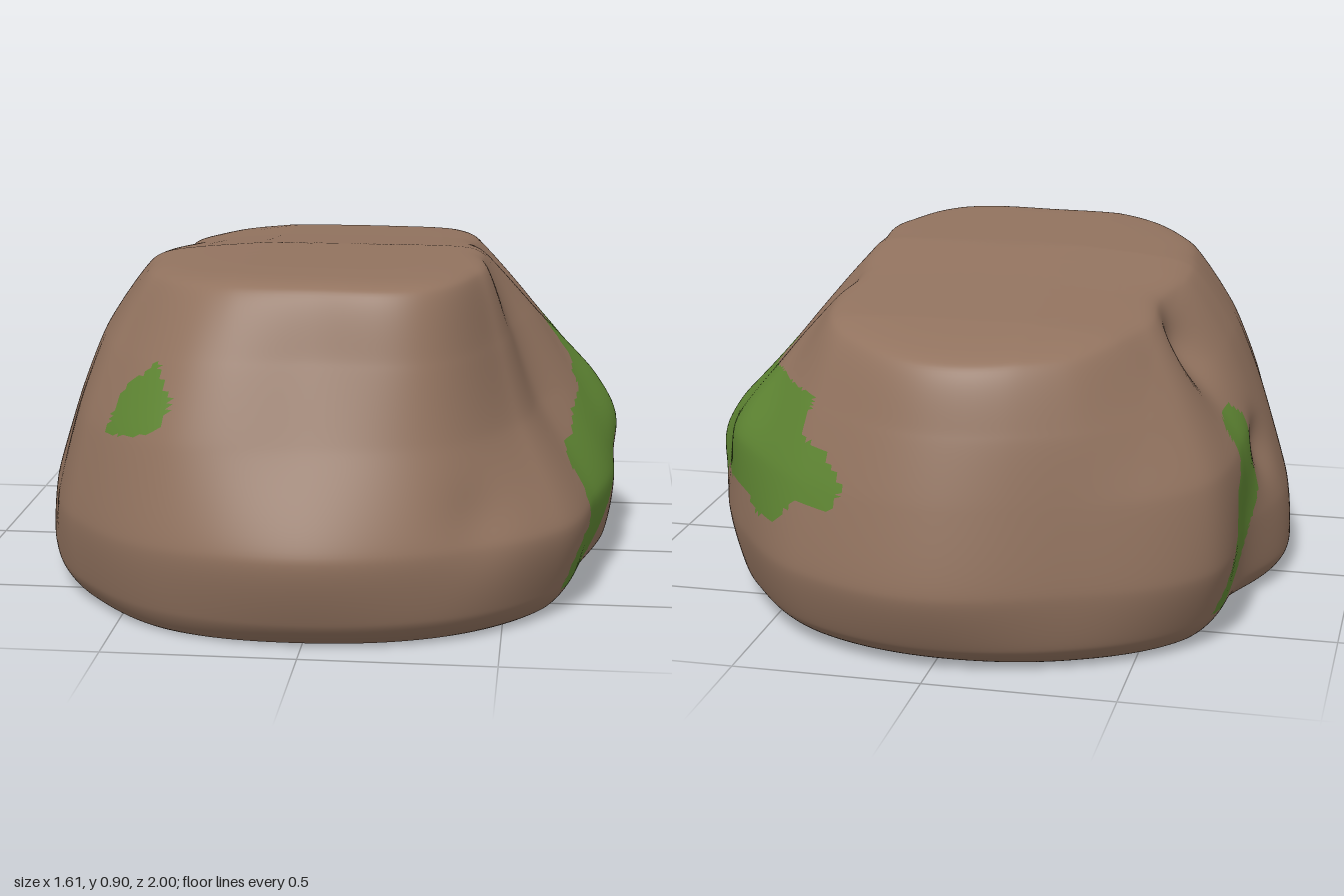
import * as THREE from 'three';

// Radii every 22.5 degrees, from +x towards +z
const BASE = [0.7, 0.71, 0.83, 0.88, 0.89, 0.9, 0.84, 0.78, 0.76, 0.72, 0.84, 0.85, 0.84, 0.82, 0.75, 0.72];
const LOW = [0.77, 0.77, 0.88, 0.94, 0.955, 0.95, 0.89, 0.83, 0.81, 0.77, 0.9, 0.92, 0.93, 0.9, 0.82, 0.77];
const WIDE = [0.79, 0.8, 0.915, 0.965, 1.0, 0.985, 0.91, 0.82, 0.8, 0.785, 0.955, 0.955, 0.995, 0.95, 0.86, 0.81];
const MID = [0.68, 0.63, 0.75, 0.87, 0.87, 0.92, 0.85, 0.75, 0.72, 0.76, 0.925, 0.93, 0.96, 0.91, 0.83, 0.76];
const UPPER = [0.56, 0.54, 0.67, 0.81, 0.78, 0.83, 0.76, 0.67, 0.63, 0.63, 0.81, 0.89, 0.91, 0.84, 0.71, 0.59];
const EDGE = [0.41, 0.45, 0.59, 0.74, 0.7, 0.71, 0.63, 0.54, 0.51, 0.51, 0.66, 0.81, 0.84, 0.74, 0.55, 0.42];

// Cross-sections from the middle of the base to the middle of the top
const ROWS = [
  { r: BASE, s: 0, f: 0 },
  { r: BASE, s: 0.9, f: 0 },
  { r: BASE, s: 1, f: 0.005 },
  { r: LOW, s: 1, f: 0.08 },
  { r: WIDE, s: 1, f: 0.28 },
  { r: MID, s: 1, f: 0.56 },
  { r: UPPER, s: 1, f: 0.78 },
  { r: EDGE, s: 1, f: 0.975 },
  { r: EDGE, s: 0.72, f: 1 },
  { r: EDGE, s: 0, f: 1 },
];

// Bulges and dents: x, y, z, size, depth
const BUMPS = [
  [0.74, 0.38, -0.15, 0.13, 0.05],
  [0.78, 0.2, -0.16, 0.08, -0.045],
  [0.65, 0.55, -0.55, 0.14, 0.03],
  [0.4, 0.8, -0.28, 0.1, -0.03],
  [-0.58, 0.72, -0.28, 0.1, -0.06],
  [-0.74, 0.4, -0.1, 0.08, -0.03],
  [-0.74, 0.42, -0.36, 0.12, 0.015],
  [0.42, 0.3, 0.8, 0.1, -0.02],
];

// Moss outlines, as seen along one axis
const MOSS = [
  { axis: 'z', on: (p) => p.x > 0, outline: [
    [0.56, 0.06], [0.55, 0.13], [0.5, 0.19], [0.42, 0.2], [0.41, 0.27], [0.37, 0.3], [0.37, 0.36], [0.3, 0.39],
    [0.2, 0.4], [0.12, 0.45], [0.01, 0.49], [0, 0.53], [-0.07, 0.55], [-0.1, 0.65], [-0.2, 0.66], [-0.22, 0.62],
    [-0.3, 0.61], [-0.38, 0.64], [-0.5, 0.66], [-0.75, 0.66], [-0.78, 0.56], [-0.84, 0.54], [-0.9, 0.47],
    [-0.9, 0.4], [-0.84, 0.4], [-0.8, 0.33], [-0.72, 0.32], [-0.65, 0.35], [-0.4, 0.35], [-0.3, 0.27],
    [-0.2, 0.27], [-0.1, 0.33], [0, 0.25], [0.12, 0.2], [0.28, 0.09], [0.4, 0.05]] },
  { axis: 'x', on: (p) => p.z > 0, outline: [
    [-0.54, 0.49], [-0.5, 0.58], [-0.47, 0.63], [-0.43, 0.65], [-0.39, 0.69], [-0.37, 0.65], [-0.34, 0.6],
    [-0.38, 0.53], [-0.46, 0.5]] },
  { axis: 'z', on: (p) => p.x < 0, outline: [
    [-0.22, 0.56], [-0.17, 0.5], [-0.2, 0.42], [-0.18, 0.32], [-0.27, 0.23], [-0.35, 0.12], [-0.48, 0.06],
    [-0.57, 0.08], [-0.5, 0.2], [-0.45, 0.28], [-0.46, 0.38], [-0.39, 0.44], [-0.37, 0.54]] },
];

function spline(a, b, c, d, t, k) {
  const m0 = k * (c - a), m1 = k * (d - b), t2 = t * t, t3 = t2 * t;
  return (2 * t3 - 3 * t2 + 1) * b + (t3 - 2 * t2 + t) * m0 + (3 * t2 - 2 * t3) * c + (t3 - t2) * m1;
}

function radiusAt(radii, u) {
  const n = radii.length, i = Math.floor(u), at = (k) => radii[(k + n) % n];
  return spline(at(i - 1), at(i), at(i + 1), at(i + 2), u - i, 0.4);
}

// The top is level in front and falls towards the back and a little to the right-hand (-x) side
function topHeight(x, z) {
  const steps = [[-1.1, 0.77], [-0.85, 0.805], [-0.6, 0.845], [-0.25, 0.868], [0.1, 0.9], [1.1, 0.9]];
  const i = Math.max(1, steps.findIndex((s) => s[0] >= z));
  const [z0, h0] = steps[i - 1], [z1, h1] = steps[i];
  return THREE.MathUtils.mapLinear(z, z0, z1, h0, h1) - 0.08 * THREE.MathUtils.clamp(-0.2 - x, 0, 0.3);
}

function surfacePoint(angle, v) {
  const i = Math.min(Math.floor(v), ROWS.length - 2);
  const u = (angle / (Math.PI * 2)) * 16;
  const near = [-1, 0, 1, 2].map((k) => ROWS[THREE.MathUtils.clamp(i + k, 0, ROWS.length - 1)]);
  const r = spline(...near.map((row) => radiusAt(row.r, u) * row.s), v - i, 0.33);
  const f = THREE.MathUtils.clamp(spline(...near.map((row) => row.f), v - i, 0.33), 0, 1);
  const out = new THREE.Vector3(Math.cos(angle), 0, Math.sin(angle));
  const p = out.clone().multiplyScalar(r);
  p.y = f * topHeight(p.x, p.z);
  let push = 0;
  for (const [x, y, z, size, depth] of BUMPS) {
    const d2 = (p.x - x) ** 2 + (p.y - y) ** 2 + (p.z - z) ** 2;
    push += depth * Math.exp(-d2 / (size * size));
  }
  return p.addScaledVector(out, push);
}

function inside(x, y, outline) {
  let hit = false;
  outline.forEach(([x1, y1], i) => {
    const [x2, y2] = outline[(i + 1) % outline.length];
    if (y1 > y !== y2 > y && x < x1 + ((y - y1) / (y2 - y1)) * (x2 - x1)) hit = !hit;
  });
  return hit;
}

const isMoss = (p) => MOSS.some((m) => m.on(p) && inside(p[m.axis], p.y, m.outline));

export function createModel() {
  const stone = new THREE.MeshStandardMaterial({ color: 0x92735f });
  stone.name = 'brown stone';
  const green = new THREE.MeshStandardMaterial({ color: 0x5f8633 });
  green.name = 'moss green';

  // Closed skin of the boulder
  const around = 256, up = 144, points = [];
  for (let i = 0; i <= up; i++) {
    for (let j = 0; j < around; j++) {
      points.push(surfacePoint((j / around) * Math.PI * 2, (i / up) * (ROWS.length - 1)));
    }
  }

  // Each face belongs either to the bare stone or to the moss
  const stoneFaces = [], mossFaces = [];
  const centre = new THREE.Vector3();
  const face = (a, b, c) => {
    centre.copy(points[a]).add(points[b]).add(points[c]).divideScalar(3);
    (isMoss(centre) ? mossFaces : stoneFaces).push(a, b, c);
  };
  for (let i = 0; i < up; i++) {
    for (let j = 0; j < around; j++) {
      const a = i * around + j, c = i * around + ((j + 1) % around);
      const b = a + around, d = c + around;
      if (i > 0) face(a, b, c);
      if (i < up - 1) face(c, b, d);
    }
  }

  // Shared normals keep the shading smooth across the moss border
  const skin = new THREE.BufferGeometry().setFromPoints(points);
  skin.setIndex([...stoneFaces, ...mossFaces]);
  skin.computeVertexNormals();
  const group = new THREE.Group();
  group.name = 'mossyBoulder';
  const addPart = (name, faces, material) => {
    const geometry = new THREE.BufferGeometry();
    geometry.setAttribute('position', skin.getAttribute('position'));
    geometry.setAttribute('normal', skin.getAttribute('normal'));
    geometry.setIndex(faces);
    const mesh = new THREE.Mesh(geometry, material);
    mesh.name = name;
    group.add(mesh);
  };
  addPart('boulder', stoneFaces, stone);
  addPart('moss', mossFaces, green);
  return group;
}
